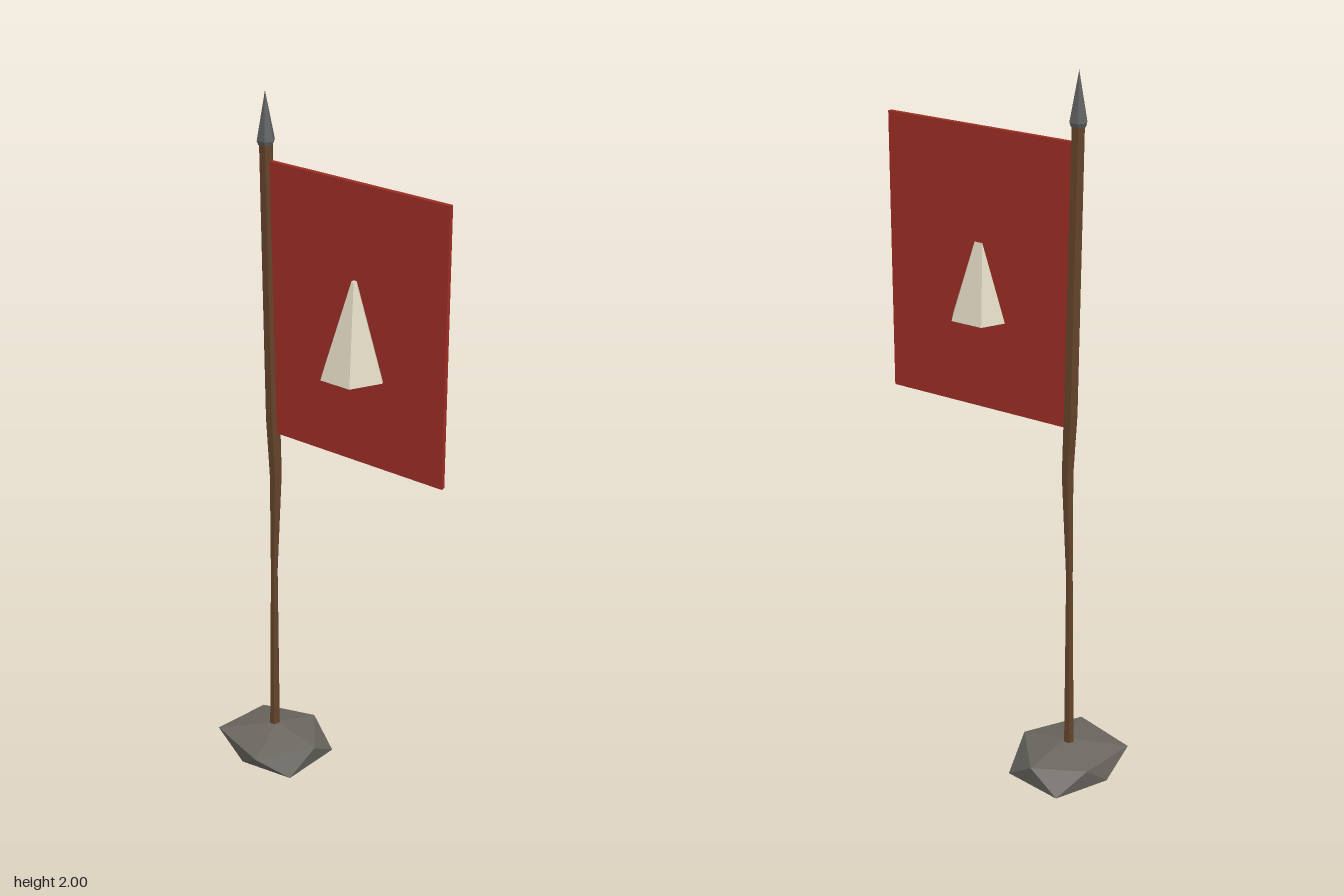
import * as THREE from 'three';

const makeMaterial = (name, color) => {
  const m = new THREE.MeshStandardMaterial({ color, flatShading: true });
  m.name = name;
  return m;
};

// Skin between rings of equal point count, listed bottom to top, closed at both ends by a point.
function skin(rings, bottom, top) {
  const n = rings[0].length, pos = [];
  const tri = (...pts) => pts.forEach((p) => pos.push(...p));
  for (let i = 0; i < n; i++) {
    const j = (i + 1) % n;
    tri(bottom, rings[0][j], rings[0][i]);
    for (let k = 0; k < rings.length - 1; k++) {
      const a = rings[k], b = rings[k + 1];
      tri(a[i], a[j], b[i]);
      tri(a[j], b[j], b[i]);
    }
    const last = rings[rings.length - 1];
    tri(last[i], last[j], top);
  }
  const g = new THREE.BufferGeometry();
  g.setAttribute('position', new THREE.Float32BufferAttribute(pos, 3));
  g.computeVertexNormals();
  return g;
}

// Six-sided ring with corners on the x axis
const hexRing = (x, y, z, r) => Array.from({ length: 6 }, (_, i) => {
  const a = (i * Math.PI) / 3;
  return [x + r * Math.cos(a), y, z - r * Math.sin(a)];
});

export function createModel() {
  const group = new THREE.Group();
  const stone = makeMaterial('stone', 0x69665f);
  const wood = makeMaterial('wood', 0x62422a);
  const iron = makeMaterial('iron', 0x5c5d5e);
  const cloth = makeMaterial('red cloth', 0x9c2e25);
  const bone = makeMaterial('bone', 0xd8d0ba);

  const add = (name, geometry, material) => {
    const mesh = new THREE.Mesh(geometry, material);
    mesh.name = name;
    group.add(mesh);
    return mesh;
  };

  // Base rock: two staggered, irregular five-point rings
  const upper = [[-0.16, 0.12, 0.145], [-0.063, 0.117, -0.002], [-0.167, 0.112, -0.137],
    [-0.31, 0.12, -0.08], [-0.342, 0.12, 0.087]];
  const lower = [[-0.24, 0.055, 0.105], [-0.088, 0.05, 0.08], [-0.078, 0.045, -0.106],
    [-0.255, 0.053, -0.148], [-0.332, 0.06, -0.01]];
  add('baseRock', skin([lower, upper], [-0.21, 0, 0], [-0.2, 0.148, -0.005]), stone);

  // Crooked pole, thin at the foot and thicker above: x, y, z, radius
  const poleRings = [
    [-0.209, 0.12, -0.006, 0.015],
    [-0.203, 0.65, -0.007, 0.010],
    [-0.194, 0.95, -0.009, 0.017],
    [-0.201, 1.12, -0.01, 0.02],
    [-0.21, 1.88, -0.01, 0.018],
  ].map((p) => hexRing(...p));
  add('pole', skin(poleRings, [-0.209, 0.12, -0.006], [-0.21, 1.88, -0.01]), wood);

  // Spear point
  add('spearPoint', skin(
    [hexRing(-0.21, 1.865, -0.01, 0.02), hexRing(-0.21, 1.875, -0.01, 0.024)],
    [-0.21, 1.865, -0.01], [-0.21, 2, -0.01]), iron);

  // Flag panel
  add('flag', new THREE.BoxGeometry(0.54, 0.745, 0.012), cloth)
    .position.set(0.07, 1.4525, -0.01);

  // Blunt six-sided spike through the flag
  const emblem = new THREE.CylinderGeometry(0.007, 0.09, 0.25, 6);
  emblem.rotateY(Math.PI / 6);
  add('emblemSpike', emblem, bone).position.set(0.071, 1.45, 0.004);

  return group;
}
